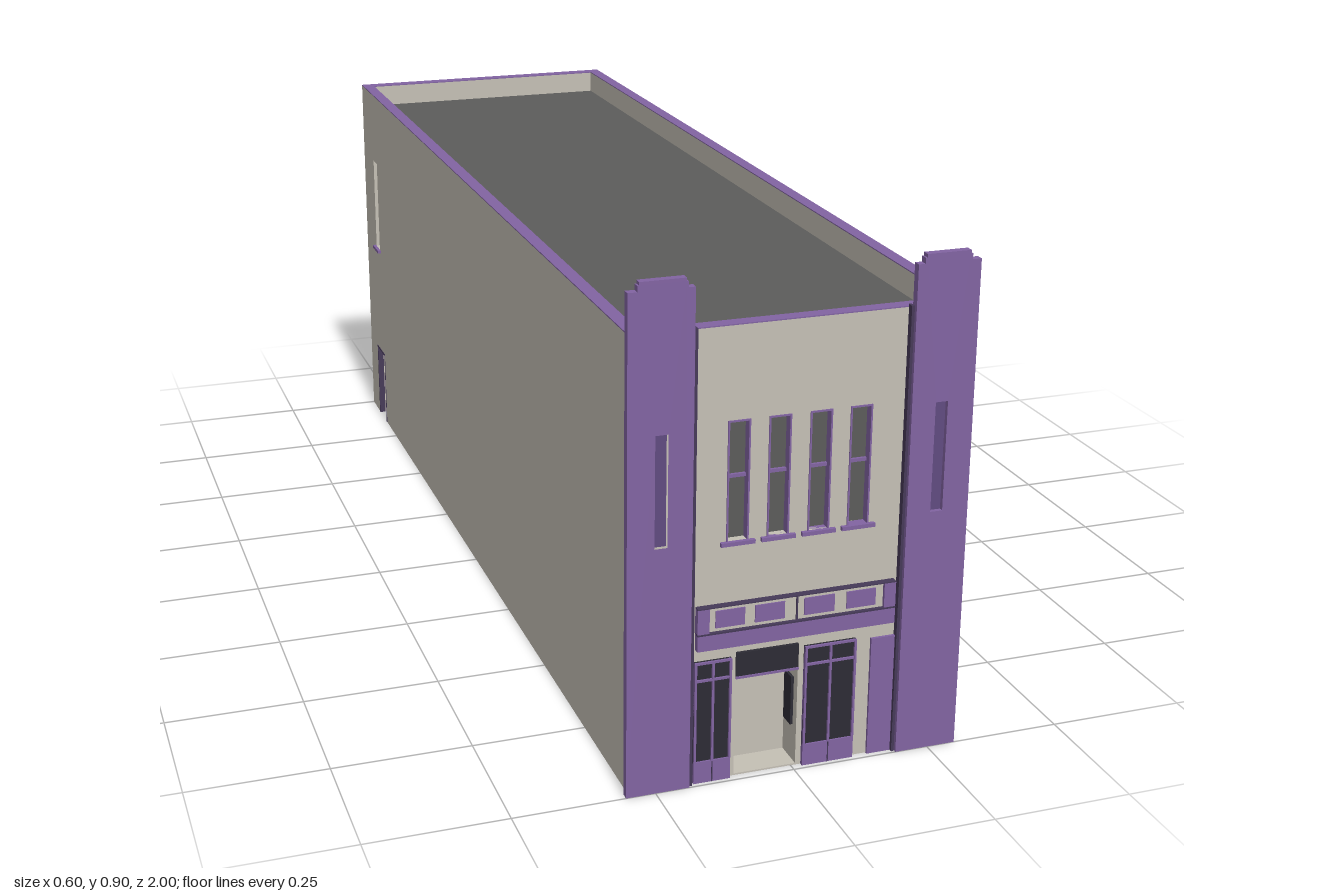
import * as THREE from 'three';

const mat = (name, color, opts = {}) => Object.assign(new THREE.MeshStandardMaterial({ color, ...opts }), { name });

export function createModel() {
  const stone = mat('stone', 0xc5c0b5);
  const purple = mat('purple trim', 0x8264a2);
  const deep = mat('deep purple inset', 0x614b80);
  const grey = mat('grey roof and glass', 0x5c5c5b);
  const dark = mat('dark shop glass', 0x2d2c35);
  const edge = mat('dark edging', 0x463a58);

  const model = new THREE.Group();
  model.name = 'building';
  const HX = 0.295, BACK = -1, FRONT = 0.985, H = 0.805, T = 0.024, LEN = FRONT - BACK, MID = (FRONT + BACK) / 2;

  // box given by its extents
  function box(parent, name, m, x0, x1, y0, y1, z0, z1) {
    const mesh = new THREE.Mesh(new THREE.BoxGeometry(x1 - x0, y1 - y0, z1 - z0), m);
    mesh.position.set((x0 + x1) / 2, (y0 + y1) / 2, (z0 + z1) / 2);
    mesh.name = name;
    parent.add(mesh);
    return mesh;
  }
  const rect = (x0, x1, y0, y1) => [[x0, y0], [x1, y0], [x1, y1], [x0, y1]].map(p => new THREE.Vector2(...p));
  function extrude(parent, name, m, points, holes, depth) {
    const s = new THREE.Shape(points);
    s.holes = holes.map(h => new THREE.Path(h.slice().reverse()));
    const mesh = new THREE.Mesh(new THREE.ExtrudeGeometry(s, { depth, bevelEnabled: false }), m);
    mesh.name = name;
    parent.add(mesh);
    return mesh;
  }

  // wall whose outer face lies at local z = 0; doors notch the lower edge
  function wall(name, u0, u1, windows, doors) {
    const g = new THREE.Group();
    g.name = name;
    const pts = [[u0, 0]];
    for (const d of doors) pts.push([d.x0, 0], [d.x0, d.h], [d.x1, d.h], [d.x1, 0]);
    pts.push([u1, 0], [u1, H], [u0, H]);
    const holes = windows.map(w => rect(w.u - w.w / 2, w.u + w.w / 2, w.y0, w.y1));
    extrude(g, name + 'Panel', stone, pts.map(p => new THREE.Vector2(...p)), holes, T).position.z = -T;
    windows.forEach(w => fitWindow(g, w));
    doors.forEach(d => fitDoor(g, d));
    model.add(g);
    return g;
  }

  // recessed glass, sill, optional meeting bar and border
  function fitWindow(g, { u, w, y0, y1, bar, border, sill }) {
    const a = u - w / 2, b = u + w / 2;
    box(g, 'windowGlass', grey, a, b, y0, y1, -0.022, -0.014);
    box(g, 'windowSill', purple, u - sill / 2, u + sill / 2, y0 - 0.007, y0, -0.014, 0.007);
    if (bar) box(g, 'windowBar', purple, a, b, bar - 0.003, bar + 0.003, -0.014, -0.009);
    if (border) {
      box(g, 'windowBorder', purple, a, a + border, y0, y1, -0.014, 0.002);
      box(g, 'windowBorder', purple, b - border, b, y0, y1, -0.014, 0.002);
      box(g, 'windowBorder', purple, a, b, y1 - border, y1, -0.014, 0.002);
    }
  }

  // doorway set back between two reveals
  function fitDoor(g, { x0, x1, h, depth, frame }) {
    box(g, 'doorLeaf', stone, x0, x1, 0, h, -depth - 0.006, -depth);
    box(g, 'doorReveal', stone, x0 - 0.004, x0, 0, h, -depth, -T);
    box(g, 'doorReveal', stone, x1, x1 + 0.004, 0, h, -depth, -T);
    box(g, 'doorLintel', stone, x0, x1, h, h + 0.004, -depth, -T);
    if (frame) {
      box(g, 'doorFrame', edge, x0, x0 + 0.004, 0, h, -0.012, 0.001);
      box(g, 'doorFrame', edge, x1 - 0.003, x1, 0, h, -0.012, 0.001);
      box(g, 'doorFrame', edge, x0, x1, h - 0.004, h, -0.012, 0.001);
    }
  }

  const tall = u => ({ u, w: 0.036, y0: 0.435, y1: 0.645, bar: 0.545, sill: 0.054 });
  const low = u => ({ u, w: 0.076, y0: 0.155, y1: 0.23, sill: 0.088 });

  // right-hand street side: eleven bays, the middle one a door
  const bays = Array.from({ length: 11 }, (_, i) => -0.842 + i * 0.1685);
  const rightWall = wall('streetSideWall', -FRONT, -BACK,
    [...bays.map(tall), ...bays.filter((_, i) => i !== 5).map(low)],
    [{ x0: -0.037, x1: 0.041, h: 0.175, depth: 0.05, frame: true }]);
  rightWall.rotation.y = Math.PI / 2;
  rightWall.position.x = HX;

  // opposite side: one window above one door, near the back
  const leftWall = wall('alleySideWall', BACK, FRONT, [tall(-0.88)],
    [{ x0: -0.925, x1: -0.847, h: 0.175, depth: 0.05, frame: true }]);
  leftWall.rotation.y = -Math.PI / 2;
  leftWall.position.x = -HX;

  const backWall = wall('backWall', -HX + T, HX - T, [], []);
  backWall.rotation.y = Math.PI;
  backWall.position.z = BACK;

  // front wall with four tall windows and the entrance
  const front = wall('frontWall', -HX + T, HX - T,
    [-0.107, -0.036, 0.036, 0.107].map(u => ({ ...tall(u), w: 0.039, border: 0.003, sill: 0.06 })),
    [{ x0: -0.105, x1: 0.008, h: 0.232, depth: 0.055 }]);
  front.position.z = FRONT;

  // entrance: transom, side lights in the reveals, threshold
  box(front, 'entranceTransom', dark, -0.105, 0.008, 0.187, 0.23, -0.01, 0.002);
  box(front, 'entranceHeader', purple, -0.105, 0.008, 0.183, 0.187, -0.01, 0.004);
  box(front, 'entranceSideLight', dark, -0.105, -0.1, 0.07, 0.16, -0.045, -0.015);
  box(front, 'entranceSideLight', dark, 0.003, 0.008, 0.07, 0.16, -0.045, -0.015);
  box(front, 'threshold', stone, -0.105, 0.008, 0, 0.003, -0.055, 0);

  // shop windows
  function shopWindow(x0, x1) {
    const g = new THREE.Group(), f = 0.004, c = (x0 + x1) / 2, y1 = 0.225;
    g.name = 'shopWindow';
    box(g, 'shopGlass', dark, x0, x1, 0.038, y1, 0, 0.004);
    box(g, 'shopPanel', purple, x0, x1, 0, 0.04, 0, 0.007);
    for (const x of [x0, c - f / 2, x1 - f]) box(g, 'shopMullion', purple, x, x + f, 0.04, y1, 0, 0.008);
    for (const y of [0.189, y1 - f]) box(g, 'shopRail', purple, x0, x1, y, y + f, 0, 0.0075);
    box(g, 'shopPanelSplit', edge, c - 0.001, c + 0.001, 0, 0.038, 0.006, 0.0075);
    front.add(g);
  }
  shopWindow(-0.18, -0.114);
  shopWindow(0.018, 0.112);
  box(front, 'sideDoorPanel', purple, 0.14, 0.192, 0, 0.22, 0, 0.005);

  // fascia board with blank panels
  const fascia = new THREE.Group();
  fascia.name = 'fascia';
  box(fascia, 'fasciaBase', purple, -0.178, 0.178, 0.248, 0.278, 0, 0.012);
  box(fascia, 'fasciaLedge', edge, -0.178, 0.178, 0.276, 0.279, 0, 0.0125);
  for (const s of [-1, 1]) box(fascia, 'fasciaEnd', purple, s * 0.1675 - 0.0105, s * 0.1675 + 0.0105, 0.278, 0.325, 0, 0.012);
  box(fascia, 'fasciaBoard', stone, -0.157, 0.157, 0.279, 0.325, 0, 0.006);
  box(fascia, 'fasciaTopEdge', edge, -0.178, 0.178, 0.3235, 0.3255, 0, 0.0125);
  box(fascia, 'fasciaSplit', edge, -0.0015, 0.0015, 0.279, 0.325, 0, 0.008);
  for (const [a, b] of [[-0.145, -0.093], [-0.075, -0.022], [0.013, 0.068], [0.09, 0.143]])
    box(fascia, 'fasciaPanel', purple, a, b, 0.285, 0.316, 0.004, 0.008);
  front.add(fascia);

  // stepped corner piers with a slot inset, and dark edging strips
  for (const s of [-1, 1]) {
    const outline = [[0.19, 0], [0.302, 0], [0.302, 0.88], [0.286, 0.88], [0.286, 0.89], [0.283, 0.89], [0.283, 0.896],
      [0.205, 0.896], [0.205, 0.89], [0.202, 0.89], [0.202, 0.88], [0.19, 0.88]].map(p => new THREE.Vector2(s * p[0], p[1]));
    const x = s * 0.244;
    extrude(model, 'cornerPier', purple, outline, [rect(x - 0.011, x + 0.011, 0.445, 0.64)], 0.014).position.z = 0.986;
    box(model, 'pierSlot', deep, x - 0.011, x + 0.011, 0.445, 0.64, 0.986, 0.992);
    box(model, 'pierEdging', edge, s * 0.186 - 0.0025, s * 0.186 + 0.0025, 0, 0.81, 0.984, 0.996);
  }

  // recessed flat roof and parapet coping
  box(model, 'roof', grey, -HX + T, HX - T, 0.75, 0.76, BACK + T, FRONT - T);
  const coping = extrude(model, 'parapetCoping', purple, rect(-HX, HX, -LEN / 2, LEN / 2),
    [rect(-HX + T, HX - T, -LEN / 2 + T, LEN / 2 - T)], 0.002);
  coping.rotation.x = -Math.PI / 2;
  coping.position.set(0, H, MID);

  return model;
}
